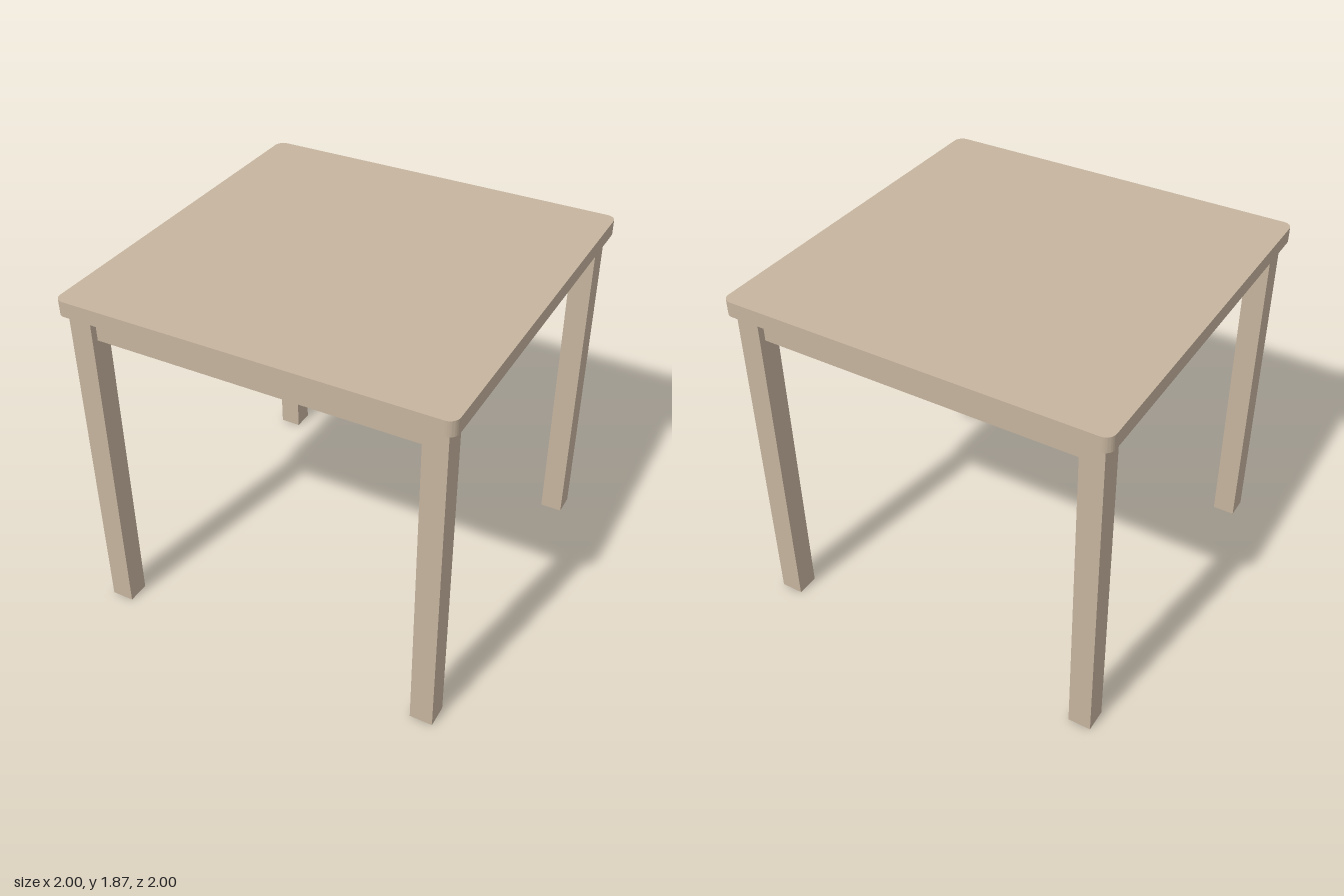
import * as THREE from 'three';
import { toCreasedNormals } from 'three/addons/utils/BufferGeometryUtils.js';

const LEG_TOP = 1.79;
const TOP_THICKNESS = 0.08;

export function createModel() {
  const table = new THREE.Group();
  table.name = 'table';

  const wood = new THREE.MeshStandardMaterial({ color: 0xc6b49e });
  wood.name = 'pale wood';

  const add = (name, geometry, x, y, z) => {
    const mesh = new THREE.Mesh(geometry, wood);
    mesh.name = name;
    mesh.position.set(x, y, z);
    table.add(mesh);
    return mesh;
  };

  // Square tabletop with rounded corners
  const r = 0.05, c = 1 - r;
  const outline = new THREE.Shape();
  outline.absarc(c, c, r, 0, Math.PI / 2);
  outline.absarc(-c, c, r, Math.PI / 2, Math.PI);
  outline.absarc(-c, -c, r, Math.PI, Math.PI * 1.5);
  outline.absarc(c, -c, r, Math.PI * 1.5, Math.PI * 2);
  const slab = new THREE.ExtrudeGeometry(outline, {
    depth: TOP_THICKNESS, bevelEnabled: false, curveSegments: 8,
  });
  slab.rotateX(-Math.PI / 2);
  add('tabletop', toCreasedNormals(slab, Math.PI / 6), 0, LEG_TOP, 0);

  // Four square legs
  const leg = new THREE.BoxGeometry(0.12, LEG_TOP, 0.12);
  for (const [side, x] of [['Left', 0.9], ['Right', -0.9]]) {
    for (const [end, z] of [['front', 0.9], ['back', -0.9]]) {
      add(`${end}${side}Leg`, leg, x, LEG_TOP / 2, z);
    }
  }

  // Aprons between the legs, set back from their outer faces
  const apronHeight = 0.135, apronY = LEG_TOP - apronHeight / 2;
  const apronX = new THREE.BoxGeometry(1.68, apronHeight, 0.075);
  const apronZ = new THREE.BoxGeometry(0.075, apronHeight, 1.68);
  add('frontApron', apronX, 0, apronY, 0.887);
  add('backApron', apronX, 0, apronY, -0.887);
  add('leftApron', apronZ, 0.887, apronY, 0);
  add('rightApron', apronZ, -0.887, apronY, 0);

  // Two battens under the top, running front to back
  const batten = new THREE.BoxGeometry(0.06, 0.065, 1.7);
  add('leftBatten', batten, 0.62, LEG_TOP - 0.0325, 0);
  add('rightBatten', batten, -0.62, LEG_TOP - 0.0325, 0);

  return table;
}
